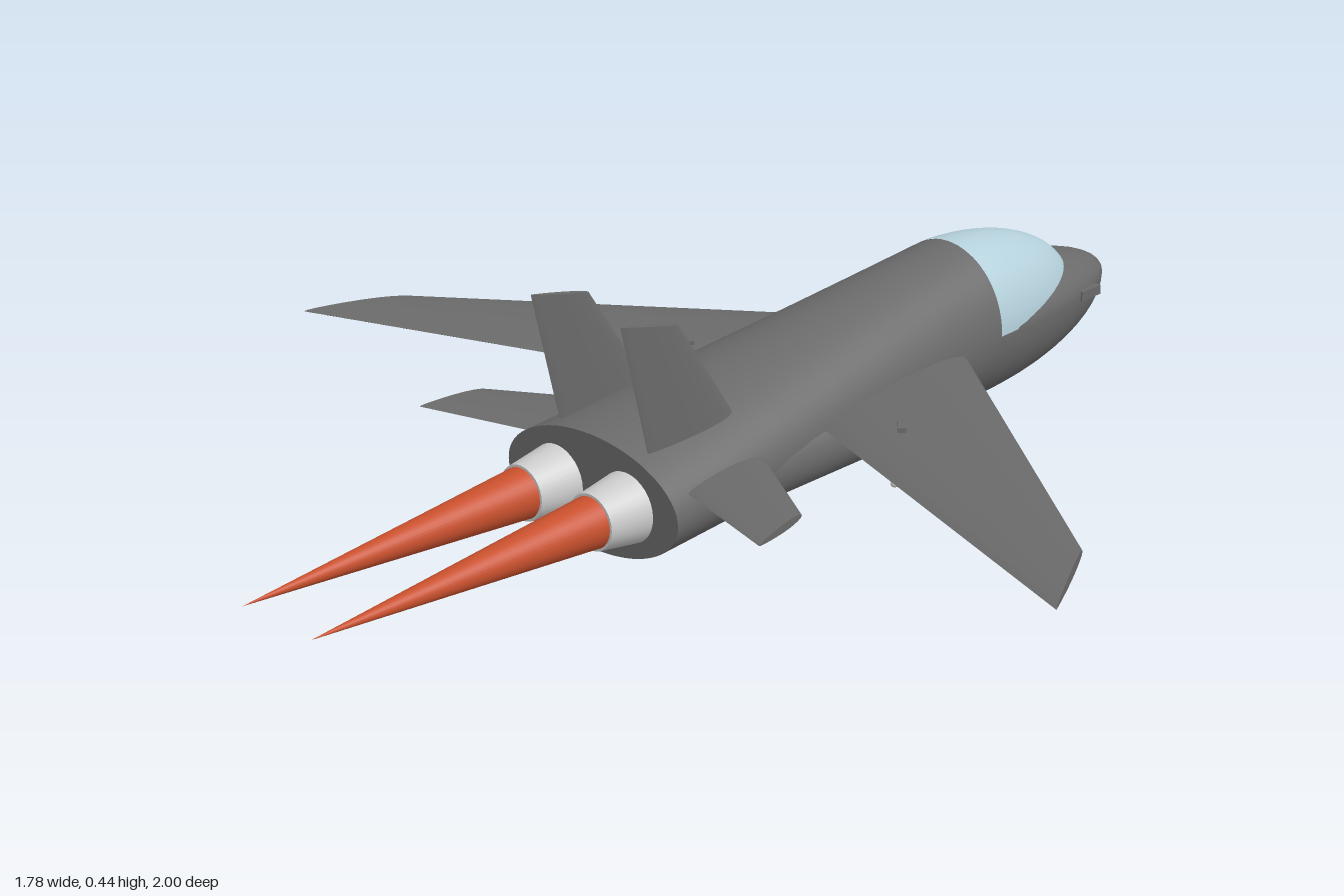
import * as THREE from 'three';
import { toCreasedNormals } from 'three/addons/utils/BufferGeometryUtils.js';

const paint = (color) => new THREE.MeshStandardMaterial({ color });
const dark = paint(0x6a6a6a);
const glass = paint(0xb4d0da);
const flame = paint(0xc8502d);
const metal = paint(0xcccccc);
const lerp = THREE.MathUtils.lerp;

// Aerofoil surface between sections given as leading and trailing [span, z] and thickness
function foil(sections, n = 20) {
  const pos = [], index = [];
  for (const { le, te, t } of sections) {
    for (let i = 0; i < n; i++) {
      const a = (i / n) * Math.PI * 2;
      const u = (1 - Math.cos(a)) / 2;
      pos.push(lerp(le[0], te[0], u), Math.sin(a) * t * (0.62 - 0.35 * u), lerp(le[1], te[1], u));
    }
  }
  for (let s = 0; s < sections.length - 1; s++) {
    for (let i = 0; i < n; i++) {
      const a = s * n + i, b = s * n + (i + 1) % n;
      index.push(a, b, b + n, a, b + n, a + n);
    }
  }
  const last = (sections.length - 1) * n;
  for (let i = 1; i < n - 1; i++) index.push(last, last + i, last + i + 1);
  const g = new THREE.BufferGeometry();
  g.setAttribute('position', new THREE.Float32BufferAttribute(pos, 3));
  g.setIndex(index);
  return toCreasedNormals(g, 0.7);
}

// Mirror a geometry across x = 0, keeping its faces outward
function mirrored(geometry) {
  const g = geometry.index ? geometry.toNonIndexed() : geometry.clone();
  for (const name of ['position', 'normal']) {
    const at = g.attributes[name];
    for (let i = 0; i < at.count; i += 3) {
      const v = [0, 1, 2].map((k) => new THREE.Vector3().fromBufferAttribute(at, i + k));
      [v[0], v[2], v[1]].forEach((p, k) => at.setXYZ(i + k, -p.x, p.y, p.z));
    }
  }
  return g;
}

// Round part lying along z, from z0 (radius r0) to z1 (radius r1)
function tube(r0, r1, z0, z1, x, y, sides = 32) {
  return new THREE.CylinderGeometry(r1, r0, z1 - z0, sides)
    .rotateX(Math.PI / 2).translate(x, y, (z0 + z1) / 2);
}

// Small slim capsule lying along z
const rail = (r, length, x, y, z) =>
  new THREE.CapsuleGeometry(r, length, 4, 10).rotateX(Math.PI / 2).translate(x, y, z);

export function createModel() {
  const model = new THREE.Group();
  const add = (name, geometry, material) => {
    const mesh = new THREE.Mesh(geometry, material);
    mesh.name = name;
    model.add(mesh);
  };
  const addPair = (name, geometry, material) => {
    add(name + 'Left', geometry, material);
    add(name + 'Right', mirrored(geometry), material);
  };

  // Fuselage: tall oval behind the canopy, blending to a wide oval at the tail
  const body = new THREE.CylinderGeometry(1, 1, 1, 64, 6).rotateX(Math.PI / 2);
  const p = body.attributes.position;
  for (let i = 0; i < p.count; i++) {
    const t = p.getZ(i) + 0.5;
    const halfHeight = lerp(0.155, 0.104, t);
    p.setXYZ(i, p.getX(i) * lerp(0.135, 0.203, t), halfHeight * (1 + p.getY(i)), lerp(-0.57, 0.33, t));
  }
  add('fuselage', toCreasedNormals(body, 0.7), dark);

  // Nose: half ellipsoid, shallower above its widest line
  const nose = new THREE.SphereGeometry(1, 48, 32, Math.PI, Math.PI);
  const q = nose.attributes.position;
  for (let i = 0; i < q.count; i++) {
    const y = q.getY(i);
    q.setXYZ(i, q.getX(i) * 0.135, 0.155 + y * (y > 0 ? 0.083 : 0.155), -0.57 - Math.abs(q.getZ(i)) * 0.43);
  }
  nose.computeVertexNormals();
  add('nose', nose, dark);

  // Canopy: quarter ellipsoid bubble
  add('canopy', new THREE.SphereGeometry(1, 40, 24, Math.PI, Math.PI, 0, Math.PI / 2)
    .scale(0.1352, 0.15, 0.32).translate(0, 0.16, -0.57), glass);

  // Intake ducts along the flanks
  addPair('intakeDuct', tube(0.065, 0.065, -0.39, 0.3, 0.12, 0.105), dark);

  // Swept wings
  addPair('wing', foil([
    { le: [0.08, -0.51], te: [0.08, -0.085], t: 0.045 },
    { le: [0.79, 0.02], te: [0.89, 0.21], t: 0.022 },
  ]).translate(0, 0.15, 0), dark);

  // Tailplanes
  addPair('tailplane', foil([
    { le: [0.12, 0.065], te: [0.12, 0.27], t: 0.028 },
    { le: [0.375, 0.22], te: [0.405, 0.352], t: 0.016 },
  ]).translate(0, 0.145, 0), dark);

  // Upright twin fins
  addPair('tailFin', foil([
    { le: [0.17, 0.075], te: [0.17, 0.295], t: 0.024 },
    { le: [0.405, 0.23], te: [0.435, 0.36], t: 0.016 },
  ]).rotateZ(Math.PI / 2).translate(0.105, 0, 0), dark);

  // Engine nozzles and exhaust flames
  addPair('nozzle', tube(0.067, 0.05, 0.3, 0.412, 0.083, 0.102), metal);
  addPair('exhaustFlame', tube(0.046, 0, 0.405, 1, 0.083, 0.102), flame);

  // Nose sensors, under-wing rails and belly rails
  addPair('noseSensor', new THREE.BoxGeometry(0.014, 0.018, 0.055).translate(0.102, 0.156, -0.862), dark);
  for (const x of [0.38, 0.485]) addPair('wingRail', rail(0.007, 0.1, x, 0.131, -0.05), metal);
  addPair('bellyRail', rail(0.007, 0.12, 0.06, 0.014, -0.445), metal);

  // Wing-top panels
  add('wingPanelRight', new THREE.BoxGeometry(0.035, 0.008, 0.11)
    .rotateY(-0.75).translate(-0.28, 0.167, -0.12), dark);
  add('wingPanelLeft', new THREE.BoxGeometry(0.015, 0.008, 0.04)
    .rotateY(0.75).translate(0.285, 0.167, -0.125), dark);

  return model;
}
